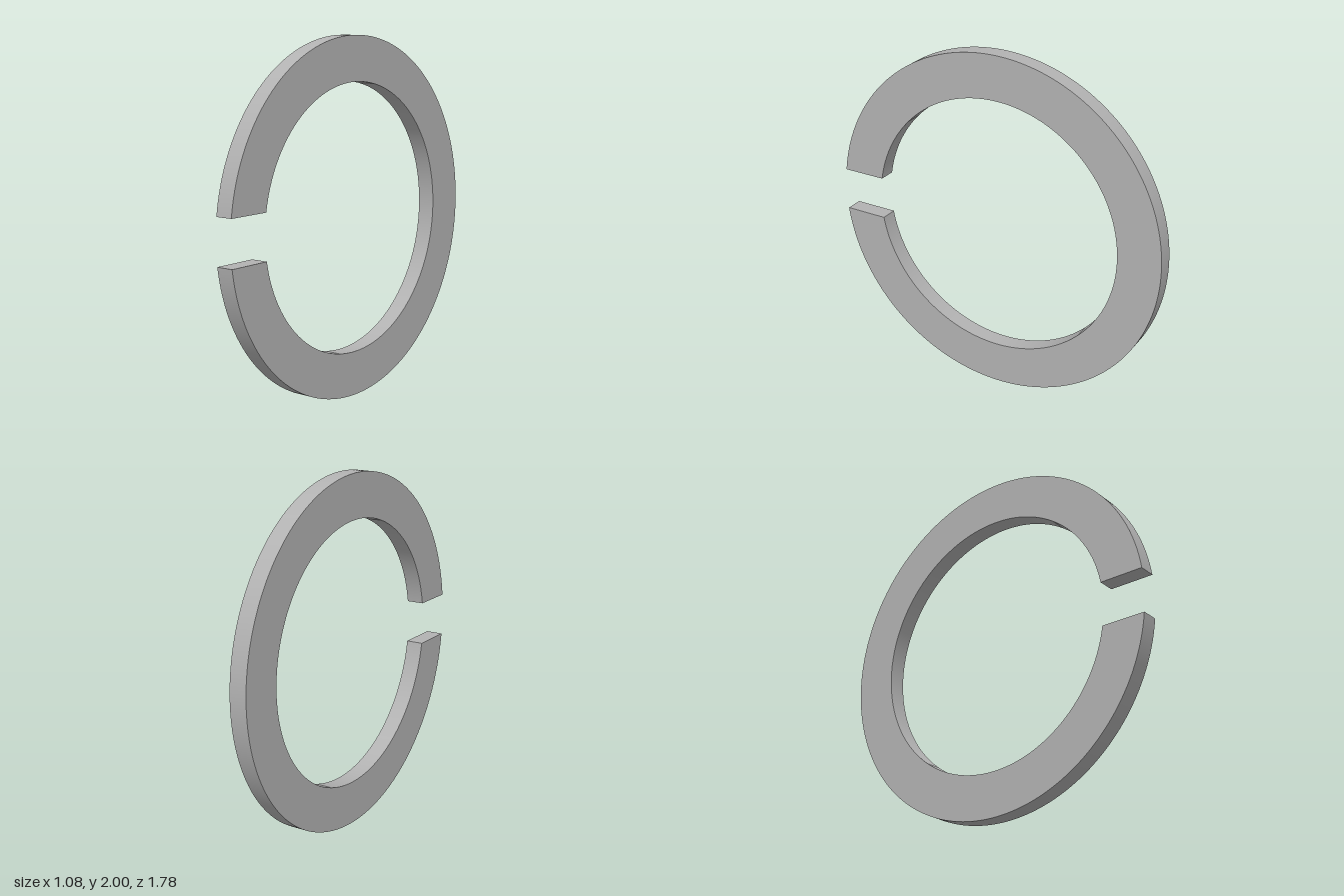
import * as THREE from 'three';
import { toCreasedNormals } from 'three/addons/utils/BufferGeometryUtils.js';

const OUTER = 1, INNER = 0.75, THICKNESS = 0.1, HALF_GAP = 0.125;

export function createModel() {
  const group = new THREE.Group();
  group.name = 'splitRing';

  const grey = new THREE.MeshStandardMaterial({ color: 0xb2b2b2 });
  grey.name = 'grey';

  // Ring profile, open at -x with parallel horizontal cut faces
  const outerEnd = Math.PI - Math.asin(HALF_GAP / OUTER);
  const innerEnd = Math.PI - Math.asin(HALF_GAP / INNER);
  const profile = new THREE.Shape();
  profile.absarc(0, 0, OUTER, -outerEnd, outerEnd, false);
  profile.absarc(0, 0, INNER, innerEnd, -innerEnd, true);
  profile.closePath();

  // Extruded band, smooth around the rims and sharp at the edges
  let geometry = new THREE.ExtrudeGeometry(profile, {
    depth: THICKNESS, bevelEnabled: false, curveSegments: 128,
  });
  geometry.translate(0, 0, -THICKNESS / 2);
  geometry = toCreasedNormals(geometry, 0.5);

  const ring = new THREE.Mesh(geometry, grey);
  ring.name = 'ring';
  ring.rotation.y = Math.PI / 3;
  ring.position.set(-0.002, 1, 0.0034);
  group.add(ring);
  return group;
}
